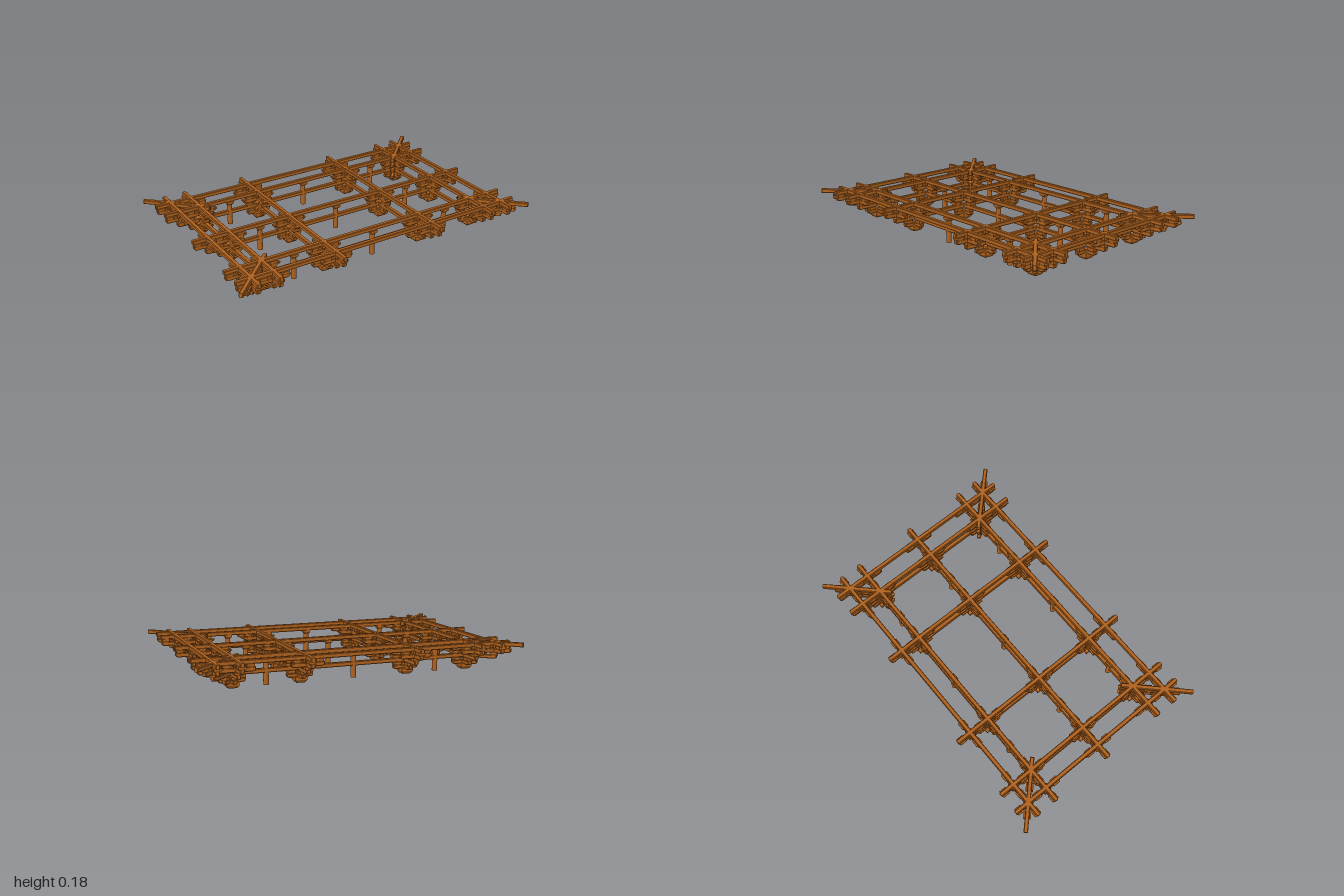
import * as THREE from 'three';

const wood = new THREE.MeshStandardMaterial({ color: 0xb0621e });
const COLS = [-0.733, -0.333, 0.333, 0.733]; // bracket columns in x
const ROWS = [-0.4, 0, 0.4];                 // bracket rows in z
const STEP = 0.067;                          // spacing of bearing blocks
const THICK = 0.026;

// Timber lying along local x with chamfered edges; each end is square, curved or pointed
function timberGeometry(from, to, height, startEnd, finishEnd) {
  const s = new THREE.Shape();
  const cut = { square: 0, curved: 0.02, pointed: 0.035 };
  const a = cut[startEnd], b = cut[finishEnd];
  const rise = (end) => (end === 'square' ? 0 : height * 0.7);
  s.moveTo(from, height);
  s.lineTo(from, rise(startEnd));
  if (startEnd === 'curved') s.quadraticCurveTo(from, 0, from + a, 0);
  else if (a) s.lineTo(from + a, 0);
  s.lineTo(to - b, 0);
  if (finishEnd === 'curved') s.quadraticCurveTo(to, 0, to, rise(finishEnd));
  else {
    if (b) s.lineTo(to - b, 0);
    s.lineTo(to, rise(finishEnd));
  }
  s.lineTo(to, height);
  s.closePath();
  const bevel = 0.004;
  const g = new THREE.ExtrudeGeometry(s, {
    depth: THICK - bevel * 2, curveSegments: 4, bevelEnabled: true,
    bevelThickness: bevel, bevelSize: bevel, bevelOffset: -bevel, bevelSegments: 1,
  });
  g.translate(0, 0, bevel - THICK / 2);
  return g;
}

// Square bearing block with a tapered foot
function blockGeometry(width, height) {
  const r = width * Math.SQRT1_2;
  const pts = [[0, 0], [r * 0.7, 0], [r, height * 0.45], [r, height], [0, height]];
  const g = new THREE.LatheGeometry(pts.map((p) => new THREE.Vector2(...p)), 4);
  g.rotateY(Math.PI / 4);
  const flat = g.toNonIndexed();
  flat.computeVertexNormals();
  return flat;
}

const smallBlock = blockGeometry(0.044, 0.022);
const baseBlock = blockGeometry(0.072, 0.036);

function add(parent, name, geometry, x, y, z, angle = 0) {
  const m = new THREE.Mesh(geometry, wood);
  m.name = name;
  m.position.set(x, y, z);
  m.rotation.y = angle;
  parent.add(m);
  return m;
}

// One stacked bracket set; ox and oz are the outward directions (0 when interior)
function bracketSet(cx, cz) {
  const g = new THREE.Group();
  g.name = 'bracketSet';
  g.position.set(cx, 0, cz);
  const ox = Math.abs(cx) > 0.7 ? Math.sign(cx) : 0;
  const oz = Math.sign(cz);
  add(g, 'baseBlock', baseBlock, 0, 0, 0);

  // a runs along the arm, positive outward
  const axes = [
    { out: ox, other: oz, angle: ox < 0 ? Math.PI : 0, at: (a, t) => [a * (ox || 1), t * (oz || 1)] },
    { out: oz, other: ox, angle: oz < 0 ? Math.PI / 2 : -Math.PI / 2, at: (a, t) => [t * (ox || 1), a * (oz || 1)] },
  ];
  const block = (axis, a, t, y) => {
    const [x, z] = axis.at(a, t);
    add(g, 'bearingBlock', smallBlock, x, y, z);
  };
  for (const axis of axes) {
    add(g, 'lowerArm', timberGeometry(-0.08, 0.08, 0.024, 'curved', 'curved'), 0, 0.029, 0, axis.angle);
    const reach = axis.out ? 0.225 : 0.112;
    add(g, 'upperArm', timberGeometry(-0.112, reach, 0.026, 'pointed', axis.out ? 'curved' : 'pointed'),
      0, 0.113, 0, axis.angle);
    for (const s of [-1, 1]) {
      block(axis, s * 0.055, 0, 0.051);
      block(axis, s * STEP, 0, 0.093);
      block(axis, s * STEP, 0, 0.136);
    }
    block(axis, 0, 0, 0.136);
    if (!axis.out) continue;
    // Outer cross arm carrying the eaves beam
    block(axis, 2 * STEP, 0, 0.093);
    block(axis, 2 * STEP, 0, 0.136);
    block(axis, 3 * STEP, 0, 0.136);
    const [x, z] = axis.at(2 * STEP, 0);
    const crossAngle = axes.find((o) => o !== axis).angle;
    add(g, 'crossArm', timberGeometry(-0.1, axis.other ? 0.225 : 0.1, 0.026, 'curved', 'curved'),
      x, 0.113, z, crossAngle);
    for (const t of axis.other ? [-1, 1, 2, 3] : [-1, 1]) block(axis, 2 * STEP, t * STEP, 0.136);
  }

  // Diagonal timbers stacked at the four corners
  if (ox && oz) {
    const angle = Math.atan2(-oz, ox), d = Math.SQRT2;
    const layers = [
      [-0.055, 0.06, 0.029, 0.024, 'curved'],
      [-0.05, 0.145, 0.072, 0.024, 'curved'],
      [-0.06, 0.205, 0.113, 0.026, 'curved'],
      [-0.05, 0.257, 0.154, 0.026, 'square'],
    ];
    for (const [from, to, y, h, end] of layers) {
      add(g, 'cornerTimber', timberGeometry(from * d, to * d, h, end, end), 0, y, 0, angle);
    }
    for (const [k, y] of [[0.045, 0.051], [0.067, 0.093], [0.133, 0.093], [0.067, 0.136], [0.133, 0.136], [0.185, 0.136]]) {
      add(g, 'bearingBlock', smallBlock, k * ox, y, k * oz, angle);
    }
  }
  return g;
}

export function createModel() {
  const model = new THREE.Group();
  model.name = 'timberBracketFrame';

  for (const x of COLS) for (const z of ROWS) model.add(bracketSet(x, z));

  // Top grid, including the outer eaves beams
  const topX = timberGeometry(-0.963, 0.963, 0.026, 'square', 'square');
  const topZ = timberGeometry(-0.63, 0.63, 0.026, 'square', 'square');
  for (const z of [-0.534, ...ROWS, 0.534]) add(model, 'topLongBeam', topX, 0, 0.154, z);
  for (const x of [-0.867, ...COLS, 0.867]) add(model, 'topCrossBeam', topZ, x, 0.154, 0, Math.PI / 2);

  // Lower tie beams with curved ends
  const tieX = timberGeometry(-0.888, 0.888, 0.026, 'curved', 'curved');
  const tieZ = timberGeometry(-0.555, 0.555, 0.026, 'curved', 'curved');
  for (const z of ROWS) add(model, 'lowerLongBeam', tieX, 0, 0.07, z);
  for (const x of COLS) add(model, 'lowerCrossBeam', tieZ, x, 0.07, 0, Math.PI / 2);

  // Short posts at the middle of each bay, with a bearing block on top
  const post = new THREE.CylinderGeometry(0.016, 0.016, 0.154, 12);
  for (const x of [-0.533, 0, 0.533]) {
    for (const z of ROWS) {
      add(model, 'bayPost', post, x, 0.077, z);
      add(model, 'bearingBlock', smallBlock, x, 0.136, z);
    }
  }
  return model;
}
